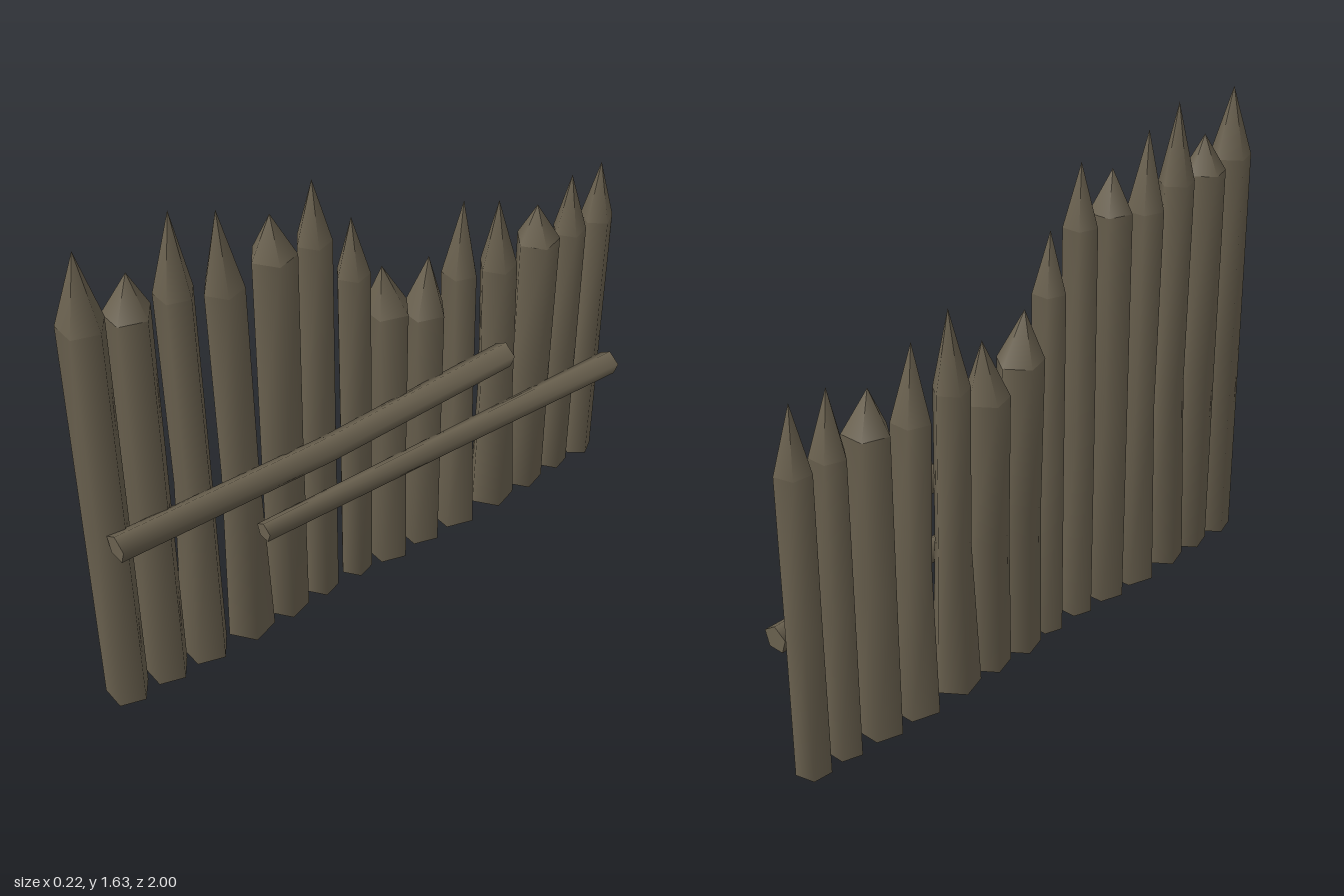
import * as THREE from 'three';

const SIDES = 5;

// Skins a row of rings (arrays of Vector3), with a point or flat lid at each end.
// Sides, start lid and end lid keep separate vertices so their rims stay crisp.
function loft(rings, startPoint, endPoint) {
  const pos = [], index = [];
  const add = (v) => pos.push(v.x, v.y, v.z) / 3 - 1;
  const side = rings.map((ring) => ring.map(add));
  for (let k = 0; k < side.length - 1; k++) {
    for (let j = 0; j < SIDES; j++) {
      const n = (j + 1) % SIDES;
      const a = side[k][j], b = side[k][n], c = side[k + 1][n], d = side[k + 1][j];
      index.push(a, b, c, a, c, d);
    }
  }
  const lid = (ring, apex, flip) => {
    const rim = ring.map(add);
    for (let j = 0; j < SIDES; j++) {
      const n = (j + 1) % SIDES, top = add(apex);
      if (flip) index.push(top, rim[n], rim[j]);
      else index.push(top, rim[j], rim[n]);
    }
  };
  lid(rings[0], startPoint, true);
  lid(rings[rings.length - 1], endPoint, false);
  const geo = new THREE.BufferGeometry();
  geo.setAttribute('position', new THREE.Float32BufferAttribute(pos, 3));
  geo.setIndex(index);
  geo.computeVertexNormals();
  return geo;
}

const corners = (fn) => Array.from({ length: SIDES }, (_, j) => fn((j / SIDES) * Math.PI * 2));

export function createModel() {
  const group = new THREE.Group();
  group.name = 'palisade';
  const wood = new THREE.MeshStandardMaterial({ color: 0x6a614f });
  wood.name = 'weathered wood';

  const X = -0.035;
  const B = Math.PI; // pentagon corner pointing to the back
  // turn, base z, base radius, waist z, waist radius, shoulder z, shoulder radius, shoulder y, tip z, tip y
  const stakes = [
    [B, 0.944, 0.07, 0.944, 0.07, 0.944, 0.07, 1.39, 0.944, 1.62],
    [B, 0.801, 0.071, 0.803, 0.07, 0.806, 0.071, 1.37, 0.80, 1.495],
    [B, 0.657, 0.077, 0.649, 0.06, 0.66, 0.06, 1.37, 0.66, 1.63],
    [0, 0.489, 0.08, 0.495, 0.061, 0.507, 0.062, 1.32, 0.515, 1.575],
    [0, 0.342, 0.071, 0.342, 0.07, 0.339, 0.071, 1.36, 0.344, 1.495],
    [0, 0.202, 0.056, 0.202, 0.056, 0.20, 0.056, 1.35, 0.20, 1.55],
    [0, 0.06, 0.054, 0.06, 0.054, 0.062, 0.054, 1.18, 0.065, 1.375],
    [B, -0.076, 0.073, -0.074, 0.07, -0.068, 0.077, 1.0, -0.047, 1.16],
    [B, -0.216, 0.072, -0.218, 0.07, -0.214, 0.074, 0.93, -0.229, 1.12],
    [B, -0.364, 0.08, -0.367, 0.058, -0.358, 0.059, 1.01, -0.363, 1.265],
    [0, -0.534, 0.08, -0.528, 0.062, -0.514, 0.0625, 0.97, -0.508, 1.21],
    [0, -0.68, 0.0725, -0.68, 0.071, -0.682, 0.073, 1.0, -0.674, 1.13],
    [0, -0.822, 0.056, -0.822, 0.056, -0.822, 0.056, 0.98, -0.819, 1.185],
    [1.5, -0.947, 0.055, -0.947, 0.054, -0.947, 0.055, 0.98, -0.947, 1.185],
  ];

  // Sharpened upright stakes
  stakes.forEach(([turn, z0, r0, z1, r1, z2, r2, shoulder, tipZ, tipY], i) => {
    const ring = (y, z, r) => corners((a) =>
      new THREE.Vector3(X + r * Math.sin(a + turn), y, z + r * Math.cos(a + turn)));
    const geo = loft(
      [ring(0, z0, r0), ring(shoulder * 0.5, z1, r1), ring(shoulder, z2, r2)],
      new THREE.Vector3(X, 0, z0),
      new THREE.Vector3(X, tipY, tipZ));
    const mesh = new THREE.Mesh(geo, wood);
    mesh.name = `stake${i + 1}`;
    group.add(mesh);
  });

  // Cross rails on the left face: [x, y, z, radius] from back to front
  const rails = {
    upperRail: [[0.06, 0.69, -0.48, 0.043], [0.06, 0.665, 0.23, 0.041], [0.06, 0.688, 0.975, 0.043]],
    lowerRail: [[0.06, 0.424, -0.975, 0.042], [0.06, 0.445, -0.25, 0.036], [0.06, 0.464, 0.48, 0.032]],
  };
  for (const [name, path] of Object.entries(rails)) {
    const rings = path.map(([x, y, z, r]) => corners((a) =>
      new THREE.Vector3(x + 1.1 * r * Math.cos(a + Math.PI / 2), y + r * Math.sin(a + Math.PI / 2), z)));
    const end = ([x, y, z]) => new THREE.Vector3(x, y, z);
    const mesh = new THREE.Mesh(loft(rings, end(path[0]), end(path[path.length - 1])), wood);
    mesh.name = name;
    group.add(mesh);
  }
  return group;
}
